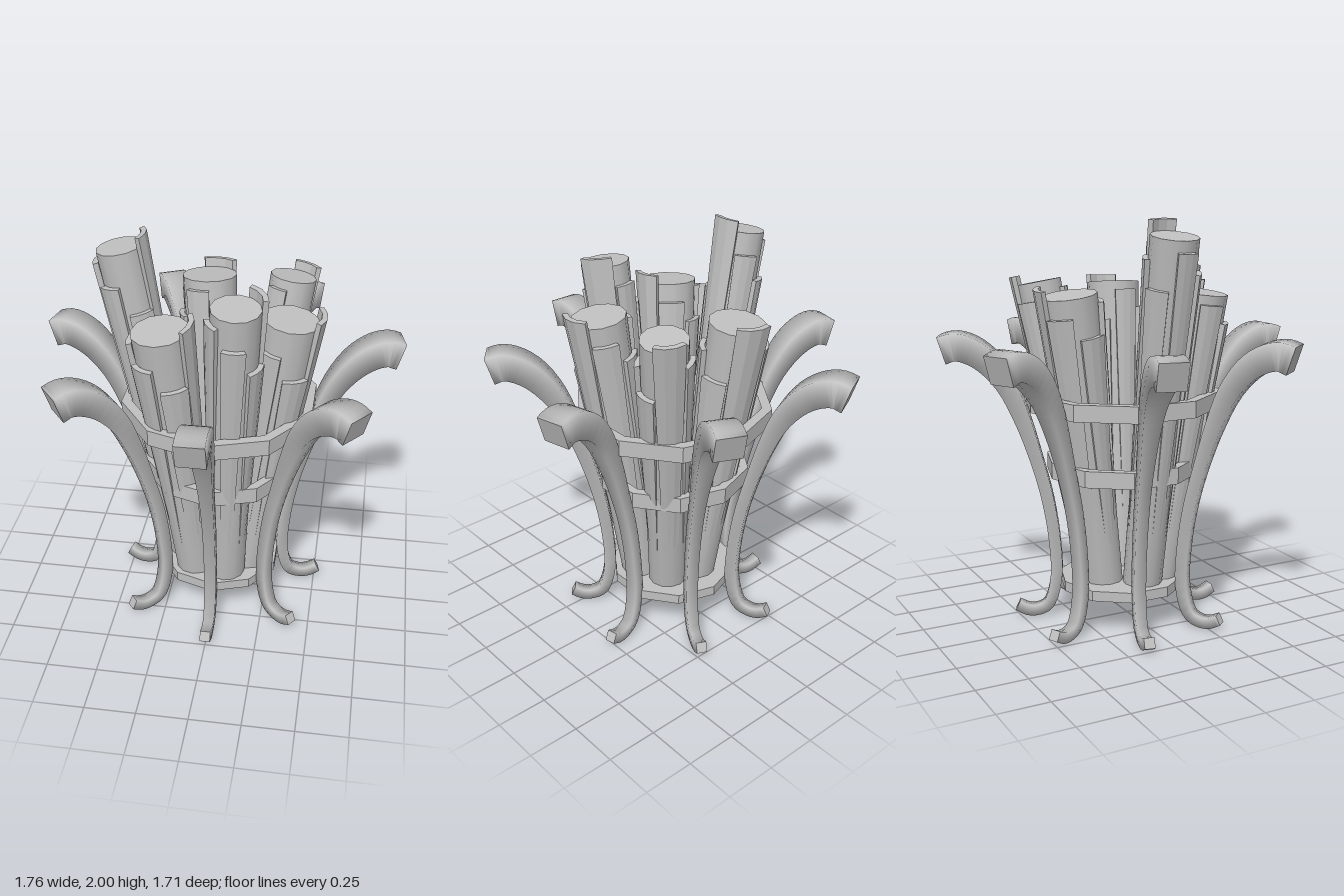
import * as THREE from 'three';

const gray = new THREE.MeshStandardMaterial({ color: 0xc0c0c0 });
gray.name = 'plain gray';
const CENTER_Z = -0.03; // axis of the metal basket

function add(parent, geometry, name) {
  const mesh = new THREE.Mesh(geometry, gray);
  mesh.name = name;
  parent.add(mesh);
  return mesh;
}

// Leg centre line, foot to tip: half thickness, height, radius
const legLine = new THREE.CatmullRomCurve3([
  [0.026, 0.056, 0.528], [0.027, 0.033, 0.478], [0.027, 0.032, 0.43], [0.028, 0.062, 0.373],
  [0.029, 0.2, 0.332], [0.029, 0.4, 0.337], [0.03, 0.62, 0.37], [0.032, 0.82, 0.422],
  [0.04, 1.03, 0.49], [0.05, 1.2, 0.565], [0.06, 1.318, 0.66], [0.065, 1.371, 0.745],
  [0.067, 1.384, 0.812], [0.068, 1.367, 0.866],
].map(p => new THREE.Vector3(...p)));

// Square bar swept along the leg line, smooth sides and flat ends
function legGeometry() {
  const pos = [], idx = [], steps = 42;
  for (let i = 0; i <= steps; i++) {
    const p = legLine.getPoint(i / steps), t = legLine.getTangent(i / steps).setX(0).normalize();
    for (const [u, v] of [[-1, -1], [1, -1], [1, 1], [-1, 1]]) {
      pos.push(u * p.x, p.y + v * p.x * t.z, p.z - v * p.x * t.y);
    }
    if (i === steps) break;
    for (let k = 0; k < 4; k++) {
      const a = i * 4 + k, b = i * 4 + (k + 1) % 4;
      idx.push(a, b, b + 4, a, b + 4, a + 4);
    }
  }
  const n = pos.length / 3;
  pos.push(...pos.slice(0, 12), ...pos.slice(-12));
  idx.push(n, n + 2, n + 1, n, n + 3, n + 2, n + 4, n + 5, n + 6, n + 4, n + 6, n + 7);
  const g = new THREE.BufferGeometry();
  g.setAttribute('position', new THREE.Float32BufferAttribute(pos, 3));
  g.setIndex(idx);
  g.computeVertexNormals();
  return g;
}

// Ten-sided hoop with a rectangular section
function hoopGeometry(radius, thickness, height) {
  const polygon = r => Array.from({ length: 10 }, (_, i) => {
    const a = i * Math.PI / 5;
    return new THREE.Vector2(r * Math.sin(a), r * Math.cos(a));
  });
  const shape = new THREE.Shape(polygon(radius));
  shape.holes.push(new THREE.Path(polygon(radius - thickness)));
  return new THREE.ExtrudeGeometry(shape, { depth: height, bevelEnabled: false }).rotateX(-Math.PI / 2);
}

// Slab of bark: a box bent around a tapered log, its narrow foot sunk into the wood
function barkGeometry(length, rBottom, rTop, azimuth, width, top) {
  const g = new THREE.BoxGeometry(1, 1, 1, 3, 1, 1);
  const p = g.attributes.position;
  for (let i = 0; i < p.count; i++) {
    const up = p.getY(i) + 0.5, out = p.getZ(i) + 0.5;
    const f = 0.04 + (top - 0.04) * up;
    const a = THREE.MathUtils.degToRad(azimuth + p.getX(i) * width * (0.6 + 0.4 * up));
    const r = rBottom + (rTop - rBottom) * f - 0.034 + out * 0.026 + up * 0.034;
    p.setXYZ(i, r * Math.sin(a), f * length, r * Math.cos(a));
  }
  const flat = g.toNonIndexed();
  flat.computeVertexNormals();
  return flat;
}

// Log from the floor plate to its leaning top; bark slabs go round from the tallest one
const BARK_TOPS = [1.03, 0.94, 0.87, 0.97, 0.91, 0.83];

function buildLog(x, y, z, radius, tallBarkAzimuth) {
  const log = new THREE.Group();
  log.name = 'log';
  const spread = 0.16 / Math.hypot(x, z), rBottom = 0.096;
  const start = new THREE.Vector3(x * spread, 0.2, z * spread);
  const axis = new THREE.Vector3(x, y, z).sub(start), length = axis.length();
  add(log, new THREE.CylinderGeometry(radius, rBottom, length, 12).translate(0, length / 2, 0), 'logCore');
  BARK_TOPS.forEach((top, i) => {
    const width = i === 0 ? 66 : 44 + 4 * (i % 3);
    add(log, barkGeometry(length, rBottom, radius, tallBarkAzimuth + i * 60, width, top), 'barkSlab');
  });
  log.position.copy(start);
  log.quaternion.setFromUnitVectors(new THREE.Vector3(0, 1, 0), axis.normalize());
  return log;
}

export function createModel() {
  const model = new THREE.Group();
  model.name = 'logBasket';

  // Metal basket: legs, hoops and floor
  const basket = new THREE.Group();
  basket.name = 'basket';
  basket.position.z = CENTER_Z;
  model.add(basket);

  const leg = legGeometry();
  for (let i = 0; i < 7; i++) add(basket, leg, 'leg').rotation.y = i * Math.PI * 2 / 7;

  add(basket, hoopGeometry(0.483, 0.05, 0.08), 'upperHoop').position.y = 1.092;
  add(basket, hoopGeometry(0.378, 0.045, 0.08), 'lowerHoop').position.y = 0.757;

  const floor = new THREE.CylinderGeometry(0.315, 0.315, 0.05, 10).toNonIndexed();
  floor.computeVertexNormals();
  add(basket, floor, 'floorPlate').position.y = 0.2;

  // Firewood
  model.add(
    buildLog(-0.46, 1.925, 0, 0.112, 92),
    buildLog(-0.23, 1.65, 0.27, 0.135, 85),
    buildLog(0.12, 1.81, 0.325, 0.115, 125),
    buildLog(0.345, 1.66, 0.095, 0.132, 90),
    buildLog(0.315, 1.68, -0.33, 0.112, 150),
    buildLog(-0.1, 1.65, -0.355, 0.135, 165),
  );
  return model;
}
